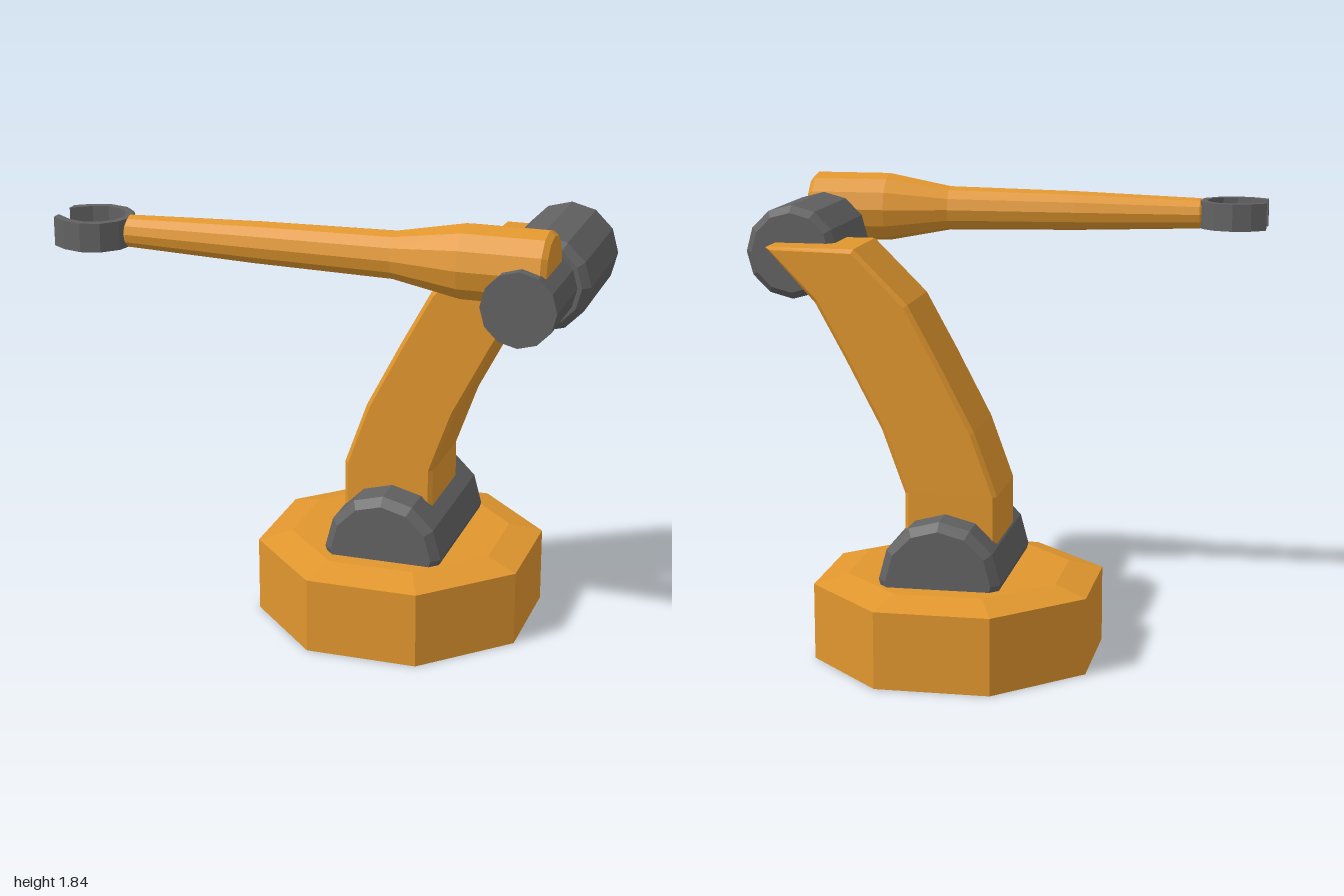
import * as THREE from 'three';

const orange = new THREE.MeshStandardMaterial({ color: 0xe0962e, flatShading: true });
const grey = new THREE.MeshStandardMaterial({ color: 0x626262, flatShading: true });

const V = (x, y) => new THREE.Vector2(x, y);

// Closed turned solid; profile is [radius, height] pairs from bottom to top
function turned(profile, sides, phase = 0) {
  const pts = profile.map(([r, h]) => V(r, h));
  pts.unshift(V(0, pts[0].y));
  pts.push(V(0, pts[pts.length - 1].y));
  return new THREE.LatheGeometry(pts, sides, phase);
}

// Drum lying along z, with optional chamfered ends
function drum(radius, z0, z1, chamfer = 0) {
  const profile = chamfer
    ? [[radius - chamfer, z0], [radius, z0 + chamfer], [radius, z1 - chamfer], [radius - chamfer, z1]]
    : [[radius, z0], [radius, z1]];
  return turned(profile, 12).rotateX(Math.PI / 2);
}

export function createModel() {
  const model = new THREE.Group();
  const add = (name, geometry, material, x = 0, y = 0, z = 0) => {
    const mesh = new THREE.Mesh(geometry, material);
    mesh.name = name;
    mesh.position.set(x, y, z);
    model.add(mesh);
  };

  // Octagonal base with a sloped rim
  const k = 1 / Math.cos(Math.PI / 8);
  add('base', turned([[0.542 * k, 0], [0.542 * k, 0.305], [0.415 * k, 0.342]], 8, Math.PI / 8),
    orange, 0.143, 0, -0.14);

  // Shoulder drum, half sunk in the base
  add('shoulder', drum(0.24, -0.475, 0.21, 0.033), grey, 0.162, 0.365, 0);

  // Curved upper arm: level slices of equal width swept up a bent line
  const slices = [[-0.04, 0.48], [-0.04, 0.68], [0.05, 0.93], [0.19, 1.2], [0.31, 1.42], [0.52, 1.63]];
  const width = 0.365, bevel = 0.016;
  const outline = [
    ...slices.map(([x, y]) => V(x + width, y)),
    ...slices.map(([x, y]) => V(x, y)).reverse(),
  ];
  outline[5].x = 0.87;
  add('upperArm', new THREE.ExtrudeGeometry(new THREE.Shape(outline), {
    depth: 0.375 - 2 * bevel, bevelEnabled: true, bevelSegments: 1,
    bevelSize: bevel, bevelThickness: bevel, bevelOffset: -bevel,
  }), orange, 0, 0, -0.325 + bevel);

  // Elbow drum and the thinner pivot in front of it
  add('elbow', drum(0.185, -0.175, 0.36, 0.028), grey, 0.81, 1.59, 0);
  add('elbowPivot', drum(0.14, 0.3, 0.68), grey, 0.81, 1.59, 0);

  // Tapered forearm reaching towards -x
  const forearm = turned([
    [0.122, -0.895], [0.14, -0.875], [0.14, -0.57], [0.09, -0.31],
    [0.08, 0.22], [0.062, 0.73], [0.04, 0.755],
  ], 12).rotateZ(Math.PI / 2);
  add('forearm', forearm, orange, 0, 1.7, 0.505);

  // Open claw ring, cut off straight at its mouth
  const half = (r, endZ) => [
    ...[0, 30, 60, 90, 120].map((d) => {
      const a = THREE.MathUtils.degToRad(d);
      return V(r * Math.cos(a), r * Math.sin(a));
    }),
    V(-0.13, endZ),
  ];
  const mirrored = (pts) => pts.slice(1).map((p) => V(p.x, -p.y)).reverse();
  const outer = half(0.147, 0.09), inner = half(0.115, 0.048);
  const claw = new THREE.Shape([
    ...mirrored(outer), ...outer,
    ...inner.slice().reverse(), ...mirrored(inner).reverse(),
  ]);
  add('gripper', new THREE.ExtrudeGeometry(claw, { depth: 0.11, bevelEnabled: false })
    .rotateX(Math.PI / 2), grey, -0.87, 1.755, 0.51);

  return model;
}
